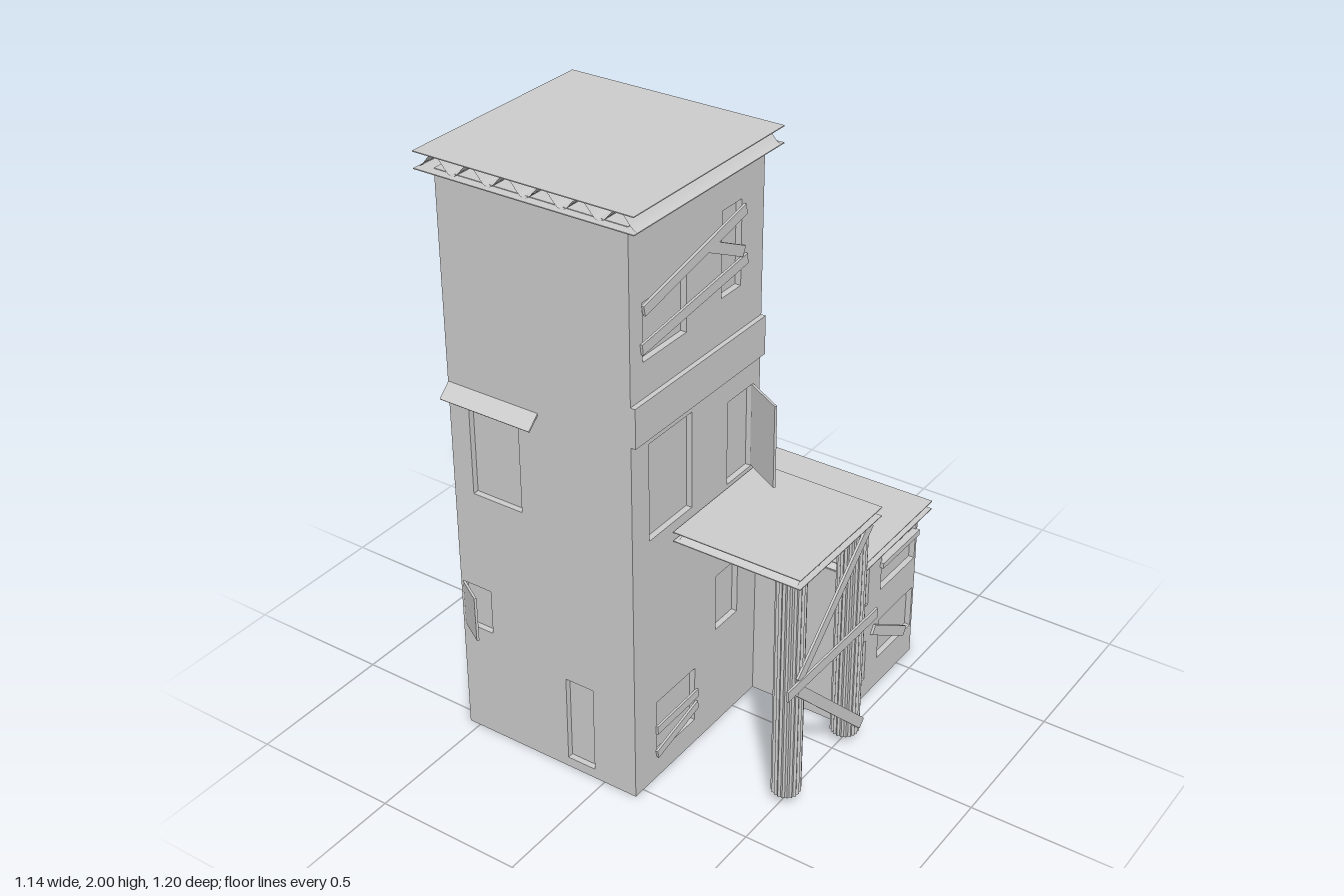
import * as THREE from 'three';

const material = new THREE.MeshStandardMaterial({ color: 0xcccccc, side: THREE.DoubleSide });
const DEPTH = 0.02; // depth of window and door recesses
const LEAN = 0.007; // slight sideways lean of the tower

export function createModel() {
  const model = new THREE.Group();
  model.name = 'corrugatedTowerHouse';

  const add = (name, geometry, parent = model) => {
    const mesh = new THREE.Mesh(geometry, material);
    mesh.name = name;
    parent.add(mesh);
    return mesh;
  };
  const group = (name) => {
    const g = new THREE.Group();
    g.name = name;
    model.add(g);
    return g;
  };
  const lean = (g) => g.applyMatrix4(new THREE.Matrix4().makeShear(0, 0, LEAN, 0, 0, 0));

  // Box given by its two extreme corners
  const block = (x0, x1, y0, y1, z0, z1) =>
    new THREE.BoxGeometry(x1 - x0, y1 - y0, z1 - z0)
      .translate((x0 + x1) / 2, (y0 + y1) / 2, (z0 + z1) / 2);

  // Wall slab with rectangular holes [u0, u1, v0, v1], extruded towards +z
  const wall = (u0, u1, v0, v1, holes) => {
    const rect = (target, a, b, c, d) =>
      target.moveTo(a, c).lineTo(b, c).lineTo(b, d).lineTo(a, d).closePath();
    const shape = rect(new THREE.Shape(), u0, u1, v0, v1);
    for (const h of holes) shape.holes.push(rect(new THREE.Path(), ...h));
    return new THREE.ExtrudeGeometry(shape, { depth: DEPTH, bevelEnabled: false });
  };
  // Same slab turned to face +x; holes are [zFront, zBack, y0, y1]
  const sideWall = (x, zFront, zBack, v0, v1, holes) =>
    wall(-zFront, -zBack, v0, v1, holes.map(([a, b, c, d]) => [-a, -b, c, d]))
      .rotateY(Math.PI / 2).translate(x - DEPTH, 0, 0);

  // Flat plank on a +x face from (z0, y0) to (z1, y1)
  const plank = (x, z0, y0, z1, y1, width, thick = 0.008) =>
    new THREE.BoxGeometry(thick, width, Math.hypot(z1 - z0, y1 - y0))
      .rotateX(-Math.atan2(y1 - y0, z1 - z0))
      .translate(x, (y0 + y1) / 2, (z0 + z1) / 2);

  // Thin upright leaf from (x0, z0) to (x1, z1)
  const leaf = (x0, z0, x1, z1, y0, y1) =>
    new THREE.BoxGeometry(Math.hypot(x1 - x0, z1 - z0), y1 - y0, 0.008)
      .rotateY(-Math.atan2(z1 - z0, x1 - x0))
      .translate((x0 + x1) / 2, (y0 + y1) / 2, (z0 + z1) / 2);

  // Two thin sheets with a wavy sheet between; waves run along x or z
  const corrugated = (name, x0, x1, y0, y1, z0, z1, waves, alongX) => {
    const g = group(name);
    const t = 0.003, cx = (x0 + x1) / 2, cz = (z0 + z1) / 2;
    const w = x1 - x0, d = z1 - z0;
    for (const [part, y] of [['lowerSheet', y0 + t / 2], ['upperSheet', y1 - t / 2]])
      add(part, new THREE.BoxGeometry(w, t, d).translate(0, y, 0), g);
    const run = alongX ? w : d, across = (alongX ? d : w) - 0.03;
    const wave = new THREE.PlaneGeometry(run, across, waves * 10, 1).rotateX(-Math.PI / 2);
    const p = wave.attributes.position;
    for (let i = 0; i < p.count; i++) {
      const phase = (p.getX(i) / run + 0.5) * waves * Math.PI * 2;
      p.setY(i, (y0 + y1) / 2 - Math.cos(phase) * ((y1 - y0) / 2 - t));
    }
    if (!alongX) wave.rotateY(Math.PI / 2);
    wave.computeVertexNormals();
    add('wavySheet', wave, g);
    g.position.set(cx, 0, cz);
    return g;
  };

  // Tower: core plus pierced front and side walls
  const tower = group('tower');
  const L = -0.54, R = 0.12, F = 0.54, B = -0.12, H = 1.95;
  add('towerCore', lean(block(L, R - DEPTH, 0, H, B, F - DEPTH)), tower);
  add('towerFrontWall', lean(wall(L, R, 0, H, [
    [-0.467, -0.283, 0.905, 1.235],
    [-0.53, -0.423, 0.4, 0.56],
    [-0.14, -0.037, 0.035, 0.345],
  ]).translate(0, 0, F - DEPTH)), tower);
  add('towerSideWall', lean(sideWall(R, F - DEPTH, B, 0, H, [
    [0.48, 0.27, 1.515, 1.7],
    [0.095, -0.005, 1.545, 1.82],
    [0.455, 0.24, 0.91, 1.24],
    [0.053, -0.08, 0.89, 1.18],
    [0.105, -0.015, 0.375, 0.58],
    [0.425, 0.22, 0.09, 0.295],
  ])), tower);
  add('sideBand', lean(block(R, R + 0.016, 1.27, 1.4, B, F)), tower);
  corrugated('towerRoof', -0.575, 0.175, 1.945, 2, -0.155, 0.57, 6, true);

  // Planks nailed over the tower windows
  [
    [0.48, 1.675, -0.02, 1.785, 0.034],
    [0.49, 1.56, -0.03, 1.625, 0.034],
    [0.165, 1.74, -0.01, 1.655, 0.034],
    [0.43, 0.19, 0.21, 0.195, 0.03],
    [0.43, 0.095, 0.21, 0.15, 0.03],
  ].forEach(([z0, y0, z1, y1, w], i) =>
    add('towerPlank' + (i + 1), lean(plank(R + 0.004, z0, y0, z1, y1, w)), tower));

  // Awning, open shutter and open balcony door
  add('awning', new THREE.BoxGeometry(0.33, 0.006, 0.06)
    .rotateX(0.75).translate(-0.365, 1.25, 0.559));
  add('shutter', leaf(-0.525, F, -0.435, 0.595, 0.4, 0.56));
  add('balconyDoor', leaf(0.128, -0.08, 0.258, -0.008, 0.895, 1.18));

  // Annex behind the tower
  const annex = group('annex');
  add('annexCore', block(-0.545, 0.45 - DEPTH, 0, 0.583, -0.59, B), annex);
  add('annexSideWall', sideWall(0.45, B, -0.59, 0, 0.583, [
    [-0.185, -0.28, 0.375, 0.565],
    [-0.185, -0.28, 0.075, 0.23],
    [-0.36, -0.58, 0.385, 0.545],
    [-0.36, -0.58, 0.11, 0.265],
  ]), annex);
  add('windowBar', plank(0.45, -0.35, 0.488, -0.585, 0.488, 0.02, 0.025), annex);
  add('annexPlank', plank(0.455, -0.315, 0.255, -0.53, 0.12, 0.035), annex);
  corrugated('annexRoof', -0.545, 0.495, 0.582, 0.614, -0.595, -0.12, 5, false)
    .rotation.y = 0.008;

  // Balcony deck on two fluted posts
  corrugated('balconyDeck', 0.13, 0.57, 0.846, 0.88, -0.12, 0.342, 4, false);
  const outline = [];
  const FLUTES = 20;
  for (let i = 0; i < FLUTES * 4; i++) {
    const a = (i / (FLUTES * 4)) * Math.PI * 2;
    const r = 0.0445 + 0.0028 * Math.cos(a * FLUTES);
    outline.push(new THREE.Vector2(Math.cos(a) * r, Math.sin(a) * r));
  }
  const postShape = new THREE.Shape(outline);
  postShape.holes.push(new THREE.Path().absarc(0, 0, 0.039, 0, Math.PI * 2, true));
  for (const [name, z] of [['frontPost', 0.285], ['backPost', -0.065]])
    add(name, new THREE.ExtrudeGeometry(postShape, { depth: 0.806, bevelEnabled: false, curveSegments: 24 })
      .rotateX(-Math.PI / 2).translate(0.506, 0.04, z));

  // Cross braces between the posts
  add('middleBrace', plank(0.557, 0.375, 0.477, -0.145, 0.47, 0.036));
  add('upperBrace', plank(0.553, 0.305, 0.49, -0.085, 0.835, 0.036));
  add('lowerBrace', plank(0.553, 0.305, 0.455, -0.085, 0.07, 0.036));

  return model;
}
